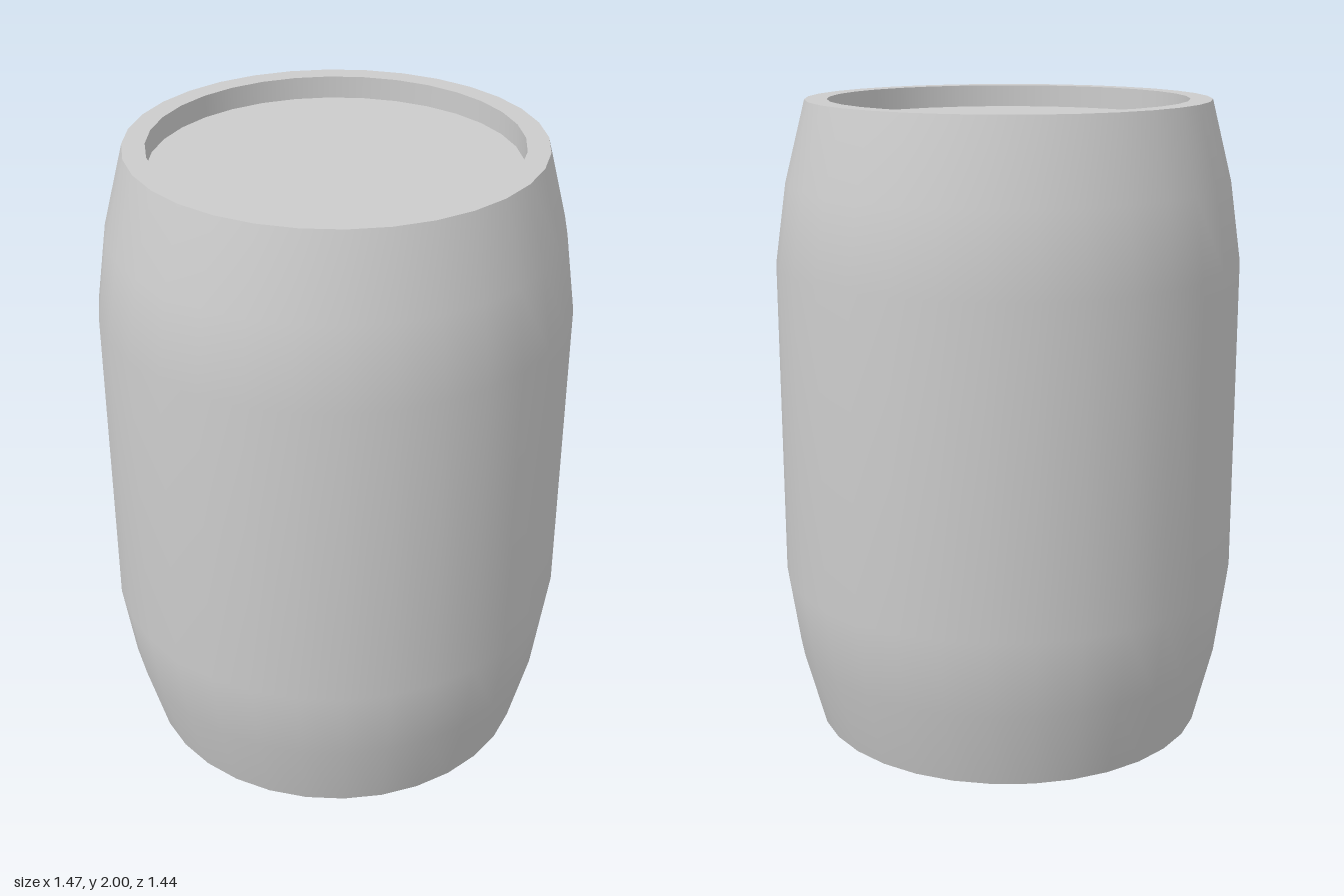
import * as THREE from 'three';

const SIDES = 32;
const END_R = 0.625;      // radius at both ends
const material = new THREE.MeshStandardMaterial({ color: 0xcccccc });

// Revolve a short [radius, y] profile; run it counter-clockwise so faces point outward
function revolve(name, profile) {
  const points = profile.map(([r, y]) => new THREE.Vector2(r, y));
  const mesh = new THREE.Mesh(new THREE.LatheGeometry(points, SIDES), material);
  mesh.name = name;
  return mesh;
}

export function createModel() {
  const barrel = new THREE.Group();
  barrel.name = 'barrel';

  // Bulging outer wall, smooth all the way up
  const wall = revolve('outerWall', [
    [END_R, 0], [0.694, 0.25], [0.733, 0.5], [0.733, 1.5], [0.694, 1.75], [END_R, 2],
  ]);
  // The belly is slightly shallower front to back than it is wide
  const pos = wall.geometry.attributes.position;
  for (let i = 0; i < pos.count; i++) {
    const bulge = (Math.hypot(pos.getX(i), pos.getZ(i)) - END_R) / (0.733 - END_R);
    pos.setZ(i, pos.getZ(i) * (1 - 0.018 * bulge));
  }

  // Each flat or upright section is its own surface, which keeps the edges sharp
  const lidR = 0.557, lidY = 1.93, baseY = 0.1;
  barrel.add(
    wall,
    revolve('topRim', [[END_R, 2], [lidR, 2]]),
    revolve('topRecessWall', [[lidR, 2], [lidR, lidY]]),
    revolve('lid', [[lidR, lidY], [0, lidY]]),
    revolve('base', [[0, baseY], [END_R - 0.003, baseY]]),
    revolve('baseRecessWall', [[END_R - 0.003, baseY], [END_R - 0.003, 0]]),
    revolve('baseRim', [[END_R - 0.003, 0], [END_R, 0]]),
  );
  return barrel;
}
